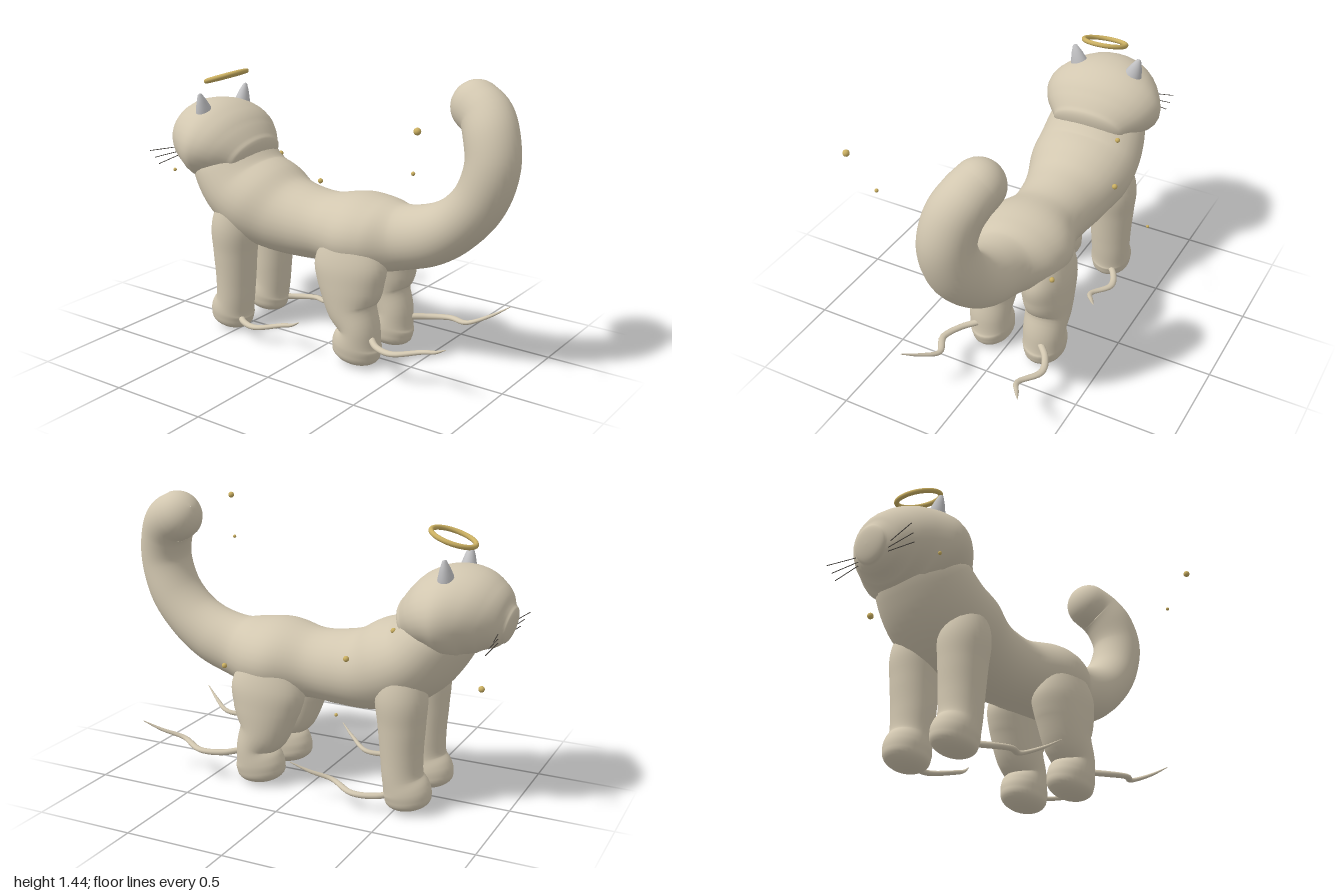
import * as THREE from 'three';

const CX = 0.05; // the animal's plane of symmetry

const paint = (name, color) => {
  const m = new THREE.MeshStandardMaterial({ color });
  m.name = name;
  return m;
};

// Closed tube through stations [x, y, z, halfWidth, halfDepth], with rounded ends
function loft(stations, { steps = 6, sides = 32, capStart = 1, capEnd = 1 } = {}) {
  const path = new THREE.CatmullRomCurve3(stations.map(s => new THREE.Vector3(s[0], s[1], s[2])));
  const size = new THREE.CatmullRomCurve3(
    stations.map(s => new THREE.Vector3(s[3], s[4], 0)), false, 'catmullrom', 0.5);
  const rings = [];
  const n = (stations.length - 1) * steps;
  const addRing = (t, shift, scale) => {
    const r = size.getPoint(t);
    const dir = path.getTangent(t);
    const centre = path.getPoint(t).addScaledVector(dir, shift * Math.min(r.x, r.y));
    rings.push({ centre, dir, a: r.x * scale, b: r.y * scale });
  };
  const capSteps = 8;
  for (let k = 0; k < capSteps; k++) {
    const q = (1 - k / capSteps) * Math.PI / 2;
    addRing(0, -capStart * Math.sin(q), Math.max(Math.cos(q), 0.01));
  }
  for (let i = 0; i <= n; i++) addRing(i / n, 0, 1);
  for (let k = 1; k <= capSteps; k++) {
    const q = k / capSteps * Math.PI / 2;
    addRing(1, capEnd * Math.sin(q), Math.max(Math.cos(q), 0.01));
  }
  const pos = [], index = [];
  rings.forEach(({ centre, dir, a, b }, i) => {
    const side = new THREE.Vector3(1, 0, 0).addScaledVector(dir, -dir.x).normalize();
    const up = dir.clone().cross(side);
    for (let j = 0; j < sides; j++) {
      const q = j / sides * Math.PI * 2;
      const p = centre.clone().addScaledVector(side, a * Math.cos(q)).addScaledVector(up, b * Math.sin(q));
      pos.push(p.x, p.y, p.z);
      if (i < rings.length - 1) {
        const u = i * sides + j, v = i * sides + (j + 1) % sides;
        index.push(u, v, u + sides, v, v + sides, u + sides);
      }
    }
  });
  const g = new THREE.BufferGeometry();
  g.setAttribute('position', new THREE.Float32BufferAttribute(pos, 3));
  g.setIndex(index);
  g.computeVertexNormals();
  return g;
}

export function createModel() {
  const group = new THREE.Group();
  const fur = paint('beige fur', 0xd2c7b0);
  const silver = paint('silver ear', 0xc2c2c4);
  const gold = paint('gold', 0xcbb062);
  const dark = paint('dark whisker', 0x45413c);

  const add = (name, geometry, material) => {
    const mesh = new THREE.Mesh(geometry, material);
    mesh.name = name;
    group.add(mesh);
    return mesh;
  };

  // Neck, torso and curled tail in one sweep
  add('bodyAndTail', loft([
    [CX, 0.95, -0.70, 0.23, 0.17],
    [CX, 0.86, -0.635, 0.265, 0.19],
    [CX, 0.755, -0.54, 0.28, 0.205],
    [CX, 0.69, -0.42, 0.275, 0.22],
    [CX, 0.645, -0.29, 0.235, 0.20],
    [CX, 0.63, -0.15, 0.205, 0.185],
    [CX, 0.63, 0.0, 0.20, 0.175],
    [CX, 0.64, 0.17, 0.255, 0.195],
    [CX, 0.645, 0.30, 0.235, 0.185],
    [CX, 0.657, 0.43, 0.165, 0.16],
    [CX, 0.70, 0.58, 0.15, 0.148],
    [CX, 0.785, 0.715, 0.145, 0.133],
    [CX, 0.915, 0.822, 0.14, 0.128],
    [CX, 1.08, 0.872, 0.132, 0.127],
    [0.075, 1.21, 0.847, 0.13, 0.128],
    [0.11, 1.285, 0.80, 0.125, 0.126],
    [0.135, 1.322, 0.735, 0.12, 0.124]
  ], { capStart: 0.3 }), fur);

  // Wide head narrowing to a blunt muzzle
  add('head', loft([
    [CX, 0.92, -0.52, 0.20, 0.12],
    [CX, 0.95, -0.59, 0.27, 0.165],
    [CX, 0.975, -0.66, 0.31, 0.198],
    [CX, 0.985, -0.72, 0.315, 0.212],
    [CX, 0.985, -0.80, 0.275, 0.205],
    [CX, 0.968, -0.88, 0.215, 0.172],
    [CX, 0.95, -0.94, 0.15, 0.125],
    [CX, 0.943, -0.97, 0.10, 0.09]
  ], { capStart: 0.4, capEnd: 0.3 }), fur);

  // Lengthwise profiles: [sideways, y, z, halfWidth, halfDepth]
  const hindLeg = [
    [0.13, 0.66, 0.19, 0.10, 0.14], [0.145, 0.52, 0.20, 0.122, 0.195], [0.152, 0.41, 0.208, 0.12, 0.178],
    [0.155, 0.30, 0.22, 0.113, 0.137], [0.155, 0.20, 0.265, 0.108, 0.10],
    [0.152, 0.12, 0.25, 0.11, 0.128], [0.15, 0.075, 0.243, 0.105, 0.128]
  ];
  const frontLeg = [
    [0.14, 0.72, -0.50, 0.11, 0.10], [0.158, 0.58, -0.515, 0.125, 0.125], [0.158, 0.45, -0.52, 0.117, 0.115],
    [0.155, 0.30, -0.522, 0.11, 0.103], [0.155, 0.18, -0.53, 0.105, 0.10],
    [0.152, 0.115, -0.55, 0.108, 0.118], [0.15, 0.075, -0.557, 0.103, 0.116]
  ];
  const wisp = [
    [0.17, 0.165, 0.34, 0.017, 0.015], [0.24, 0.160, 0.42, 0.017, 0.015], [0.275, 0.168, 0.53, 0.018, 0.013],
    [0.218, 0.192, 0.66, 0.015, 0.011], [0.268, 0.235, 0.76, 0.010, 0.008], [0.315, 0.285, 0.84, 0.002, 0.002]
  ];

  for (const [label, s] of [['left', 1], ['right', -1]]) {
    const place = (stations, dx = 0, dy = 0, dz = 0) =>
      stations.map(([x, y, z, a, b]) => [CX + s * (x + dx), y + dy, z + dz, a, b]);

    add(label + 'HindLeg', loft(place(hindLeg), { capEnd: 0.62 }), fur);
    add(label + 'FrontLeg', loft(place(frontLeg), { capEnd: 0.6 }), fur);

    // Wavy streamers trailing from the heels
    add(label + 'HindStreamer', loft(place(wisp), { sides: 12 }), fur);
    add(label + 'FrontStreamer', loft(place(wisp, -0.015, -0.078, -0.84), { sides: 12 }), fur);

    // Rounded cone ear leaning outward
    const profile = [[0.056, -0.08], [0.05, 0], [0.03, 0.06], [0.012, 0.10], [0, 0.107]];
    const ear = add(label + 'Ear',
      new THREE.LatheGeometry(profile.map(p => new THREE.Vector2(...p)), 24), silver);
    ear.position.set(CX + s * 0.152, 1.152, -0.715);
    ear.rotation.z = -s * 0.3;
    ear.scale.z = 0.82;

    // Three thin whiskers on each cheek
    [[0.925, 0.935, -0.985], [0.90, 0.90, -0.962], [0.88, 0.865, -0.945]].forEach(([y0, y1, z1], i) => {
      const line = new THREE.LineCurve3(
        new THREE.Vector3(CX + s * 0.10, y0, -0.95), new THREE.Vector3(CX + s * (0.285 - 0.01 * i), y1, z1));
      add(label + 'Whisker' + (i + 1), new THREE.TubeGeometry(line, 1, 0.002, 6), dark);
    });
  }

  // Tilted ring above the head
  const halo = add('halo', new THREE.TorusGeometry(0.108, 0.012, 16, 64), gold);
  halo.position.set(CX, 1.32, -0.69);
  halo.rotation.x = Math.PI / 2 - 0.32;

  // Floating gold beads: [x, y, z, radius]
  [
    [-0.49, 1.33, 0.80, 0.016], [-0.40, 1.12, 0.73, 0.009], [0.235, 0.90, -0.48, 0.013],
    [0.317, 0.76, -0.28, 0.014], [0.305, 0.63, 0.385, 0.013], [0.495, 0.55, -0.315, 0.008],
    [0.13, 0.645, -0.877, 0.015], [-0.235, 0.86, -0.81, 0.009]
  ].forEach(([x, y, z, r], i) => {
    add('bead' + (i + 1), new THREE.SphereGeometry(r, 16, 12), gold).position.set(x, y, z);
  });

  return group;
}
